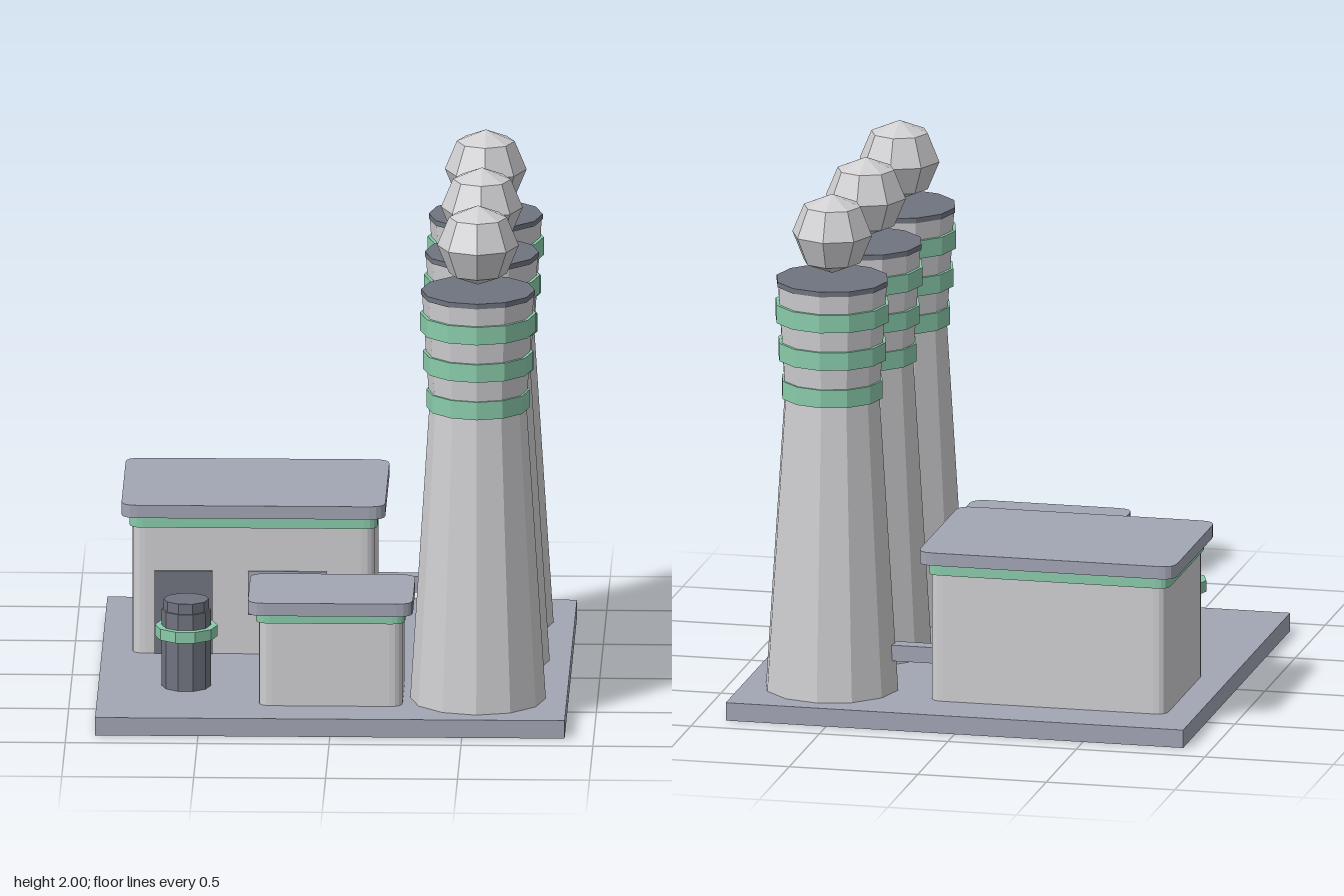
import * as THREE from 'three';

const mat = (name, color) => {
  const m = new THREE.MeshStandardMaterial({ color });
  m.name = name;
  return m;
};

export function createModel() {
  const wall = mat('pale grey', 0xcfced1);
  const slate = mat('blue grey', 0xa2a6b4);
  const dark = mat('dark slate', 0x70747f);
  const green = mat('mint green', 0x8accab);
  const model = new THREE.Group();

  const add = (parent, name, geometry, material, x = 0, y = 0, z = 0) => {
    const mesh = new THREE.Mesh(geometry, material);
    mesh.name = name;
    mesh.position.set(x, y, z);
    parent.add(mesh);
    return mesh;
  };
  const group = (name, x, z) => {
    const g = new THREE.Group();
    g.name = name;
    g.position.set(x, 0, z);
    model.add(g);
    return g;
  };
  // Flat-shaded copy of a geometry
  const facet = (geometry) => {
    const g = geometry.toNonIndexed();
    g.computeVertexNormals();
    return g;
  };
  // Faceted drum from y0 to y1, with corners on the x axis
  const drum = (r, y0, y1, sides) =>
    facet(new THREE.CylinderGeometry(r, r, y1 - y0, sides).rotateY(Math.PI / 2).translate(0, (y0 + y1) / 2, 0));
  // Upright block with rounded corners in plan, from y0 to y1
  const roundedBlock = (w, d, r, y0, y1) => {
    const a = w / 2, b = d / 2;
    const s = new THREE.Shape();
    s.moveTo(-a + r, -b);
    s.lineTo(a - r, -b);
    s.quadraticCurveTo(a, -b, a, -b + r);
    s.lineTo(a, b - r);
    s.quadraticCurveTo(a, b, a - r, b);
    s.lineTo(-a + r, b);
    s.quadraticCurveTo(-a, b, -a, b - r);
    s.lineTo(-a, -b + r);
    s.quadraticCurveTo(-a, -b, -a + r, -b);
    return new THREE.ExtrudeGeometry(s, { depth: y1 - y0, bevelEnabled: false, curveSegments: 4 })
      .rotateX(-Math.PI / 2).translate(0, y0, 0);
  };

  // Ground slab
  add(model, 'baseSlab', new THREE.BoxGeometry(1.78, 0.07, 1.78), slate, 0, 0.035, 0);

  // Three flared chimneys with bands, a dark cap and a faceted smoke puff
  const profile = [[0.257, 0.07], [0.184, 1.22], [0.212, 1.65]].map(([r, y]) => new THREE.Vector2(r, y));
  const bands = [[0.196, 1.21], [0.209, 1.36], [0.22, 1.51]];
  for (const z of [-0.56, 0, 0.56]) {
    const chimney = group('chimney', 0.553, z);
    add(chimney, 'chimneyShaft', facet(new THREE.LatheGeometry(profile, 12)), wall);
    for (const [r, y] of bands) add(chimney, 'chimneyBand', drum(r, y, y + 0.07, 12), green);
    add(chimney, 'chimneyCap', drum(0.216, 1.65, 1.67, 12), dark);
    add(chimney, 'smokePuff', facet(new THREE.SphereGeometry(0.155, 8, 4)), wall, 0, 1.845, 0);
  }

  // Buildings: walls, green trim and an overhanging roof
  const building = (name, x, z, w, d, trimY, roofY, topY) => {
    const g = group(name, x, z);
    add(g, 'walls', roundedBlock(w - 0.08, d - 0.08, 0.05, 0.07, trimY), wall);
    add(g, 'trim', roundedBlock(w - 0.06, d - 0.06, 0.05, trimY, roofY), green);
    add(g, 'roof', roundedBlock(w, d, 0.06, roofY, topY), slate);
  };
  building('mainHall', -0.315, -0.373, 1.0, 0.7, 0.565, 0.61, 0.66);
  building('annex', -0.003, 0.518, 0.625, 0.44, 0.395, 0.432, 0.482);

  // Door and window on the front of the main hall
  add(model, 'hallDoor', new THREE.BoxGeometry(0.22, 0.325, 0.009), dark, -0.58, 0.2325, -0.06);
  add(model, 'hallWindow', new THREE.BoxGeometry(0.3, 0.17, 0.009), slate, -0.185, 0.31, -0.06);

  // Storage tank
  const tank = group('tank', -0.557, 0.408);
  add(tank, 'tankBody', drum(0.093, 0.07, 0.37, 10), dark);
  add(tank, 'tankBand', drum(0.119, 0.265, 0.308, 10), green);
  add(tank, 'tankCap', drum(0.086, 0.37, 0.41, 10), dark);

  // Square ducts joining the hall to the tank and the rear chimney
  add(model, 'tankDuct', new THREE.BoxGeometry(0.062, 0.062, 0.42), slate, -0.56, 0.238, 0.13);
  add(model, 'chimneyDuct', new THREE.BoxGeometry(0.28, 0.062, 0.062), slate, 0.25, 0.222, -0.56);

  return model;
}
